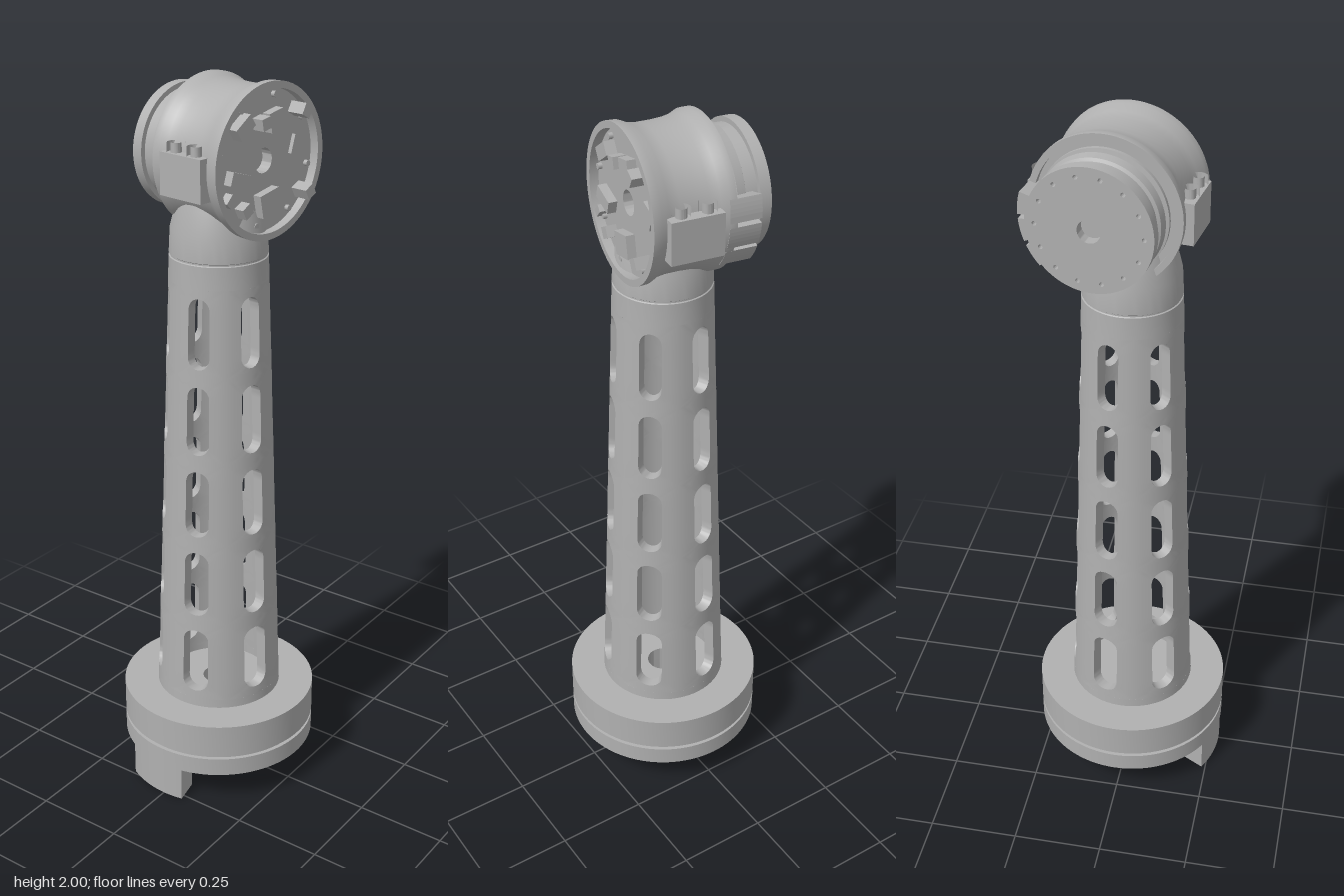
import * as THREE from 'three';
import { mergeGeometries, toCreasedNormals } from 'three/addons/utils/BufferGeometryUtils.js';

const grey = new THREE.MeshStandardMaterial({ color: 0xb0b0b0 });
grey.name = 'machined grey';

function add(parent, name, geometry, x = 0, y = 0, z = 0) {
  const mesh = new THREE.Mesh(geometry, grey);
  mesh.name = name;
  mesh.position.set(x, y, z);
  parent.add(mesh);
  return mesh;
}

// Turned part from [radius, height] pairs, edges kept sharp
function turned(points, segments = 64) {
  const g = new THREE.LatheGeometry(points.map(([r, y]) => new THREE.Vector2(r, y)), segments);
  return toCreasedNormals(g, 0.5);
}

// Shape extruded upwards along y
function upright(shape, depth) {
  const g = new THREE.ExtrudeGeometry(shape, { depth, bevelEnabled: false, curveSegments: 48 });
  return toCreasedNormals(g.rotateX(-Math.PI / 2), 0.5);
}

function hole(x, y, r) {
  return new THREE.Path(new THREE.Vector2(0, 0) && new THREE.Path().absarc(x, y, r, 0, Math.PI * 2, true).getPoints(6));
}

// Round plate with a centre hole and a circle of bolt holes
function drilledPlate(r, bore, count, circle, holeR, depth) {
  const s = new THREE.Shape().absarc(0, 0, r, 0, Math.PI * 2, false);
  s.holes.push(new THREE.Path().absarc(0, 0, bore, 0, Math.PI * 2, true));
  for (let i = 0; i < count; i++) {
    const a = ((i + 0.5) / count) * Math.PI * 2;
    s.holes.push(hole(Math.cos(a) * circle, Math.sin(a) * circle, holeR));
  }
  return upright(s, depth);
}

// Slice of a ring, centred on angle mid
function sector(r0, r1, mid, half, depth, holes = []) {
  const s = new THREE.Shape();
  s.absarc(0, 0, r1, mid - half, mid + half, false);
  s.absarc(0, 0, r0, mid + half, mid - half, true);
  s.closePath();
  for (const a of holes) {
    const r = (r0 + r1) / 2;
    s.holes.push(hole(Math.cos(mid + a) * r, Math.sin(mid + a) * r, 0.014));
  }
  return upright(s, depth);
}

const columnRadius = (y) => 0.177 - 0.036 * (y - 0.26);
const WALL = 0.03;

// One curved wall cell with a rounded slot through it
function slotCell(angle, yMid) {
  const hw = 0.0785, hh = 0.12, core = 0.063, slotR = 0.033, nx = 10, ny = 14;
  const edge = [];
  for (let i = 0; i < nx; i++) edge.push([-hw + (2 * hw * i) / nx, -hh]);
  for (let i = 0; i < ny; i++) edge.push([hw, -hh + (2 * hh * i) / ny]);
  for (let i = 0; i < nx; i++) edge.push([hw - (2 * hw * i) / nx, hh]);
  for (let i = 0; i < ny; i++) edge.push([-hw, hh - (2 * hh * i) / ny]);
  // [blend from cell edge to slot edge, depth into the wall]
  const rings = [[0, 0], [0.5, 0], [1, 0], [1, WALL], [0.5, WALL], [0, WALL]];
  const pos = [], index = [], n = edge.length;
  for (const [blend, inset] of rings) {
    for (const [x, y] of edge) {
      const cy = Math.max(-core, Math.min(core, y));
      const k = slotR / Math.hypot(x, y - cy);
      const px = x + (x * k - x) * blend;
      const py = yMid + y + (cy + (y - cy) * k - y) * blend;
      const a = angle + (px / hw) * (Math.PI / 6);
      const r = columnRadius(py) - inset;
      pos.push(r * Math.sin(a), py, r * Math.cos(a));
    }
  }
  for (let k = 0; k < rings.length - 1; k++) {
    for (let i = 0; i < n; i++) {
      const a = k * n + i, b = k * n + ((i + 1) % n);
      index.push(a, b, b + n, a, b + n, a + n);
    }
  }
  const g = new THREE.BufferGeometry();
  g.setAttribute('position', new THREE.Float32BufferAttribute(pos, 3));
  g.setIndex(index);
  return g;
}

function buildBase(parent) {
  const base = new THREE.Group();
  base.name = 'base';
  parent.add(base);
  add(base, 'baseDisc', turned([
    [0.045, 0.15], [0.264, 0.15], [0.264, 0.162], [0.275, 0.164],
    [0.275, 0.26], [0.045, 0.26], [0.045, 0.15]], 96));
  add(base, 'baseFlange', drilledPlate(0.275, 0.1, 10, 0.243, 0.014, 0.053), 0, 0.1);
  add(base, 'locatingRing', turned([
    [0.19, 0.07], [0.21, 0.07], [0.21, 0.101], [0.19, 0.101], [0.19, 0.07]]));
  add(base, 'bottomPlate', drilledPlate(0.191, 0.045, 10, 0.16, 0.006, 0.07), 0, 0.082);
  add(base, 'footBlock', sector(0.2, 0.272, -Math.PI / 2, 0.36, 0.101, [-0.22, 0.22]));
}

function buildColumn(parent) {
  const column = new THREE.Group();
  column.name = 'column';
  parent.add(column);
  const cells = [];
  for (let row = 0; row < 5; row++) {
    for (let i = 0; i < 6; i++) {
      cells.push(slotCell(THREE.MathUtils.degToRad(21 + 60 * i), 0.405 + 0.24 * row));
    }
  }
  add(column, 'slottedTube', toCreasedNormals(mergeGeometries(cells), 0.6));
  const r = columnRadius;
  add(column, 'columnFoot', turned([
    [r(0.25) - WALL, 0.25], [r(0.25), 0.25], [r(0.285), 0.285],
    [r(0.285) - WALL, 0.285], [r(0.25) - WALL, 0.25]]));
  add(column, 'columnTop', turned([
    [0, 1.5], [r(1.5) - WALL, 1.5], [r(1.485) - WALL, 1.485], [r(1.485), 1.485],
    [r(1.546), 1.546], [r(1.55) - 0.003, 1.548], [r(1.55) - 0.003, 1.552],
    [r(1.554), 1.554], [0.127, 1.62], [0.112, 1.68], [0.098, 1.74], [0, 1.74]]));
}

function buildHead(parent) {
  const head = new THREE.Group();
  head.name = 'jointHead';
  head.position.set(0, 1.8, -0.044);
  parent.add(head);
  // Turned parts lie along the joint axis
  const axis = new THREE.Group();
  axis.name = 'jointAxis';
  axis.rotation.z = -Math.PI / 2;
  head.add(axis);
  add(axis, 'jointHousing', turned([
    [0, -0.14], [0.05, -0.14], [0.05, -0.161], [0.15, -0.161], [0.15, -0.128],
    [0.158, -0.124], [0.162, -0.1], [0.15, -0.097], [0.15, -0.088], [0.166, -0.085],
    [0.166, -0.075], [0.155, -0.072], [0.155, -0.062], [0.183, -0.062], [0.183, -0.08],
    [0.2, -0.08], [0.2, -0.062], [0.191, -0.042], [0.186, -0.015], [0.184, 0.02],
    [0.184, 0.06], [0.188, 0.09], [0.199, 0.114], [0.2, 0.137], [0.182, 0.137],
    [0.182, 0.112], [0.032, 0.112], [0.032, 0.08], [0, 0.08]], 80));
  add(axis, 'outputFlange', drilledPlate(0.163, 0.03, 14, 0.138, 0.006, 0.03), 0, -0.19);
  for (let i = 0; i < 3; i++) {
    add(axis, 'rearConnector', sector(0.15, 0.2, Math.PI / 2 - 0.6 + i * 0.36, 0.15, 0.085), 0, -0.145);
  }

  // Clamp pads with two screw bosses on the front and back
  for (const side of [1, -1]) {
    add(head, 'clampPad', new THREE.BoxGeometry(0.14, 0.11, 0.06), 0.03, -0.02, side * 0.184);
    for (const x of [-0.004, 0.065]) {
      add(head, 'screwBoss', turned([
        [0, 0], [0.014, 0], [0.014, 0.025], [0.023, 0.025], [0.023, -0.02]], 16),
      x, 0.035, side * 0.192);
    }
  }

  // Small parts in the recessed face: [y, z, height, width, depth, tilt]
  const parts = [
    [0.1, -0.025, 0.05, 0.05, 0.025, 0.2], [0.1, 0.025, 0.03, 0.03, 0.035, 0.2],
    [0.1, 0.095, 0.035, 0.06, 0.03, 0.6], [0.02, -0.125, 0.05, 0.05, 0.012, -0.3],
    [-0.03, 0.105, 0.035, 0.07, 0.025, -0.3], [-0.105, -0.005, 0.06, 0.07, 0.025, 0.2],
    [-0.11, 0.085, 0.03, 0.03, 0.03, 0.5], [-0.095, -0.13, 0.03, 0.03, 0.05, 0.5],
    [0.115, -0.11, 0.03, 0.03, 0.05, -0.5], [-0.075, 0.14, 0.02, 0.03, 0.025, 0.8]];
  for (const [y, z, h, w, d, tilt] of parts) {
    add(head, 'faceComponent', new THREE.BoxGeometry(d, h, w), 0.111 + d / 2, y, z).rotation.x = tilt;
  }
  for (let i = 0; i < 8; i++) {
    const a = (i / 8) * Math.PI * 2 + 0.2;
    add(head, 'faceScrew', new THREE.CylinderGeometry(0.008, 0.008, 0.012, 10),
      0.117, 0.165 * Math.sin(a), 0.165 * Math.cos(a)).rotation.z = Math.PI / 2;
  }
}

export function createModel() {
  const model = new THREE.Group();
  model.name = 'armLink';
  const body = new THREE.Group();
  body.name = 'armBody';
  body.rotation.y = -0.14;
  model.add(body);
  buildBase(body);
  buildColumn(body);
  buildHead(body);
  return model;
}
